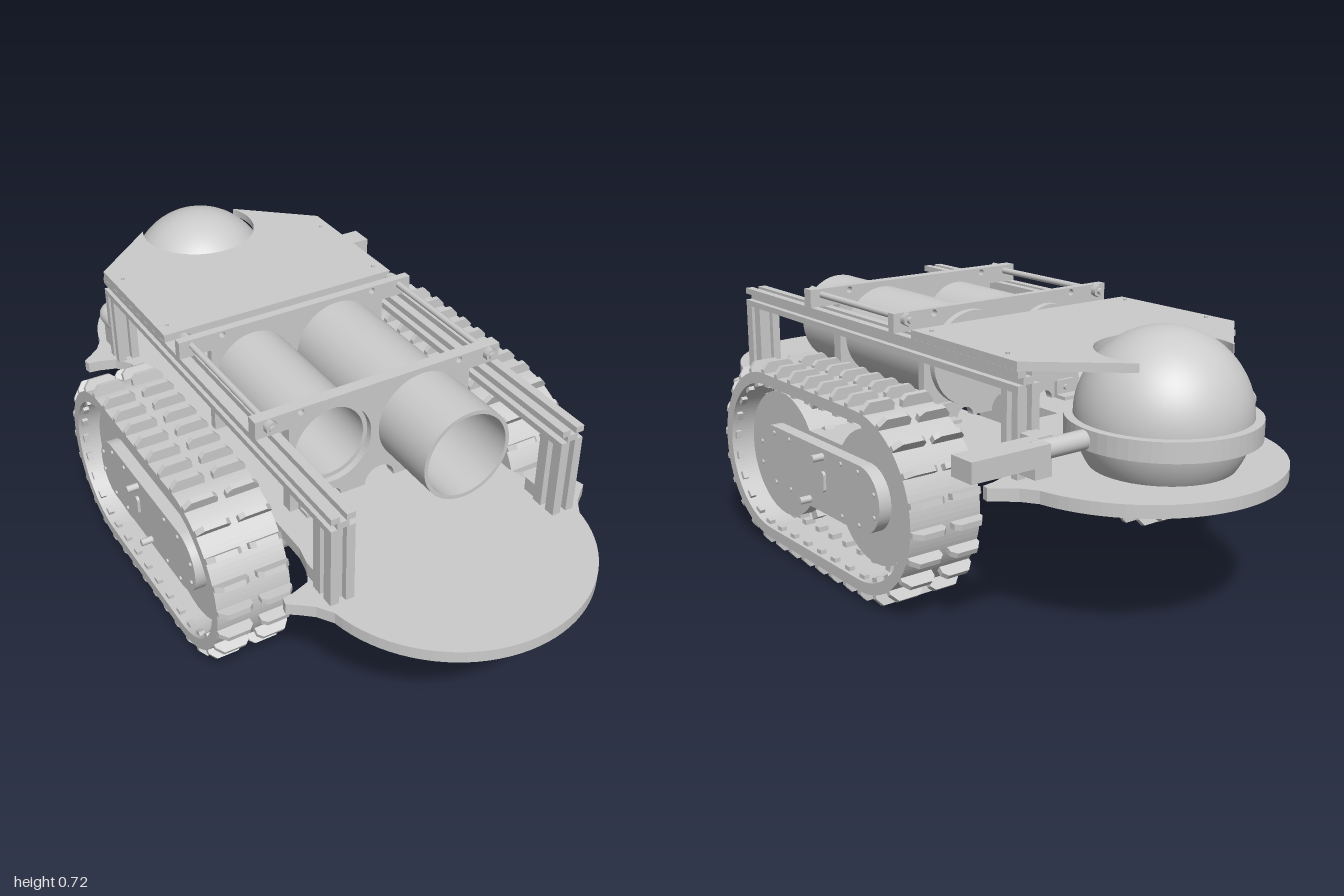
import * as THREE from 'three';
import { mergeGeometries } from 'three/addons/utils/BufferGeometryUtils.js';

const grey = new THREE.MeshStandardMaterial({ color: 0xcccccc, side: THREE.DoubleSide });

function add(parent, name, geo, x = 0, y = 0, z = 0) {
  const m = new THREE.Mesh(geo, grey);
  m.name = name;
  m.position.set(x, y, z);
  parent.add(m);
  return m;
}
const box = (w, h, d) => new THREE.BoxGeometry(w, h, d);
const rodX = (r, l, n = 32) => new THREE.CylinderGeometry(r, r, l, n).rotateZ(Math.PI / 2);
const rodZ = (r, l, n = 32) => new THREE.CylinderGeometry(r, r, l, n).rotateX(Math.PI / 2);
const extrude = (shape, depth) =>
  new THREE.ExtrudeGeometry(shape, { depth, bevelEnabled: false, curveSegments: 28 });
const flat = (shape, depth) => extrude(shape, depth).rotateX(Math.PI / 2); // x,z outline, hangs below y
const poly = pts => new THREE.Shape(pts.map(p => new THREE.Vector2(p[0], p[1])));
const circle = (x, y, r) => new THREE.Path().absarc(x, y, r, 0, Math.PI * 2, false);

// Pill outline with end centres at +-c and radius r
function stadium(c, r, Type = THREE.Shape) {
  const s = new Type();
  s.absarc(c, 0, r, -Math.PI / 2, Math.PI / 2, false);
  s.absarc(-c, 0, r, Math.PI / 2, Math.PI * 1.5, false);
  s.closePath();
  return s;
}
const sideways = (shape, depth) => extrude(shape, depth).rotateY(Math.PI / 2);

// Square slotted bar profile
function slottedBar(w, h, len) {
  const a = w / 2, b = h / 2, s = 0.009, d = 0.017;
  return extrude(poly([
    [-a, -b], [-s, -b], [-s, -b + d], [s, -b + d], [s, -b], [a, -b],
    [a, -s], [a - d, -s], [a - d, s], [a, s], [a, b],
    [s, b], [s, b - d], [-s, b - d], [-s, b], [-a, b],
    [-a, s], [-a + d, s], [-a + d, -s], [-a, -s]]), len);
}

// Position and outward angle at distance t along a pill path
function onTrack(t, c, r) {
  const L = 2 * c, A = Math.PI * r;
  if (t < L) return { z: -c + t, y: r, a: 0 };
  t -= L;
  if (t < A) { const q = t / r; return { z: c + r * Math.sin(q), y: r * Math.cos(q), a: q }; }
  t -= A;
  if (t < L) return { z: c - t, y: -r, a: Math.PI };
  const q = (t - L) / r;
  return { z: -c - r * Math.sin(q), y: -r * Math.cos(q), a: Math.PI + q };
}

function makeTrack(side) {
  const g = new THREE.Group();
  g.name = side > 0 ? 'leftTrack' : 'rightTrack';
  const C = 0.225, R = 0.235, N = 34;
  const belt = stadium(C, R);
  belt.holes.push(stadium(C, 0.205, THREE.Path));
  add(g, 'trackBelt', sideways(belt, 0.205), -0.1025);

  // Tread lugs in two chamfered halves, with a guide tooth inside the belt
  const half = extrude(poly([[0.012, -0.005], [0.1025, -0.005], [0.1025, 0.01], [0.085, 0.03],
    [0.025, 0.03], [0.012, 0.018]]), 0.015).translate(0, 0, -0.0075);
  const lug = mergeGeometries([half, half.clone().rotateY(Math.PI)]);
  const tooth = box(0.03, 0.016, 0.02).translate(0, -0.036, 0);
  const edgeTooth = box(0.016, 0.014, 0.022).translate(0.085, -0.034, 0);
  const lugs = [], teeth = [];
  const total = 4 * C + 2 * Math.PI * R;
  for (let i = 0; i < N; i++) {
    const p = onTrack((i + 0.5) * total / N, C, R);
    const put = q => q.clone().rotateX(p.a).translate(0, p.y, p.z);
    lugs.push(put(lug));
    teeth.push(put(tooth), put(edgeTooth), put(edgeTooth.clone().translate(-0.17, 0, 0)));
  }
  add(g, 'treadLugs', mergeGeometries(lugs));
  add(g, 'guideTeeth', mergeGeometries(teeth));

  // Road wheels and the pill-shaped side plates
  for (const z of [-C, C]) {
    add(g, 'wheel', rodX(0.175, 0.13, 40), -0.015, 0, z);
    for (let k = 0; k < 12; k++) {
      const a = k * Math.PI / 6;
      add(g, 'sprocketTooth', box(0.03, 0.03, 0.03).rotateX(-a), 0,
        0.18 * Math.sin(a), z + 0.18 * Math.cos(a));
    }
  }
  add(g, 'wheelFrame', box(0.13, 0.2, 0.2), -0.015, 0, 0);
  add(g, 'outerSidePlate', sideways(stadium(0.215, 0.088), 0.035), 0.05);
  add(g, 'innerSidePlate', sideways(stadium(0.215, 0.088), 0.02), -0.098);
  for (const [y, z] of [[-0.068, 0.03], [0.066, -0.04]])
    add(g, 'frameBolt', rodX(0.01, 0.04, 12), 0.0975, y, z);
  for (const x of [0.086, -0.099]) for (const z of [-0.28, -0.21, -0.13, 0.13, 0.21, 0.28])
    for (const s of [-1, 1])
      add(g, 'plateScrew', rodX(0.006, 0.008, 8), x, s * (Math.abs(z) > 0.25 ? 0.03 : 0.07), z);
  add(g, 'plateBoss', sideways(stadium(0.018, 0.01), 0.01).rotateX(Math.PI / 2), 0.083, 0, -0.045);

  // Drive motor pointing inwards
  add(g, 'motorFlange', rodX(0.087, 0.06), -0.125, 0, 0.215);
  add(g, 'motorBody', rodX(0.068, 0.09), -0.182, 0, 0.215);
  g.scale.x = side;
  g.position.set(side * 0.45, 0.27, 0);
  return g;
}

export function createModel() {
  const model = new THREE.Group();
  model.name = 'trackedRobot';
  const body = new THREE.Group();
  body.name = 'body';
  body.position.x = -0.0075;
  model.add(body);

  // Base plate: round ends, four small ears, openings for ball and middle bay
  const quarter = [[0.32, 0], [0.32, 0.46], [0.335, 0.53], [0.365, 0.575], [0.41, 0.59], [0.443, 0.595],
    [0.447, 0.615], [0.42, 0.635], [0.39, 0.66]];
  for (let i = 0; i <= 20; i++) {
    const a = 0.19 + (Math.PI / 2 - 0.19) * i / 20;
    quarter.push([0.37 * Math.cos(a), 0.63 + 0.37 * Math.sin(a)]);
  }
  const back = quarter.slice(0, -1).reverse();
  const front = [...quarter, ...back.map(([x, z]) => [-x, z])];
  const rear = front.slice(1, -1).reverse().map(([x, z]) => [x, -z]);
  const base = poly([...front, ...rear.reverse().map(([x, z]) => [-x, z])]);
  base.holes.push(circle(0, -0.72, 0.175));
  base.holes.push(new THREE.Path([[-0.08, -0.25], [0.1, -0.25], [0.1, 0.13], [-0.08, 0.13]]
    .map(p => new THREE.Vector2(...p))));
  add(body, 'basePlate', flat(base, 0.032), 0, 0.392, 0);

  // Top plate, notched around the ball
  const top = new THREE.Shape();
  top.moveTo(0.36, -0.195);
  top.lineTo(-0.36, -0.195);
  top.lineTo(-0.36, -0.61);
  top.lineTo(-0.155, -0.79);
  top.absarc(0, -0.72, 0.17, 3.566, -0.424, true);
  top.lineTo(0.36, -0.61);
  top.closePath();
  add(body, 'topPlate', flat(top, 0.022), 0, 0.672, 0);
  for (const x of [-0.33, 0.33]) for (const z of [-0.24, -0.54])
    add(body, 'topPlateScrew', new THREE.CylinderGeometry(0.005, 0.005, 0.006, 8), x, 0.674, z);

  // Frame rails, posts, clamp rods
  for (const s of [-1, 1]) {
    add(body, 'frameRail', slottedBar(0.065, 0.052, 1.29), s * 0.328, 0.624, -0.615);
    for (const z of [0.635, -0.585])
      add(body, 'framePost', slottedBar(0.065, z > 0 ? 0.08 : 0.06, 0.21).rotateX(-Math.PI / 2),
        s * 0.328, 0.39, z);
    add(body, 'postFoot', box(0.05, 0.04, 0.05), s * 0.328, 0.41, 0.575);
    add(body, 'postBracket', box(0.05, 0.1, 0.06), s * 0.328, 0.455, -0.64);
    add(body, 'clampRod', rodZ(0.009, 0.5, 16), s * 0.325, 0.683, 0.1);
    for (const z of [0.335, -0.13]) add(body, 'clampNut', rodZ(0.018, 0.018, 6), s * 0.325, 0.683, z);
  }

  // Two open tubes held by two clamp plates
  const tubes = [[-0.143, 0.113, 0.1, 0.305], [0.122, 0.129, 0.118, 0.53]];
  for (const [x, r, ri, z1] of tubes) {
    const pts = [[0, -0.125], [ri, -0.125], [ri, z1], [r, z1], [r, -0.14], [0, -0.14]];
    const parts = pts.slice(1).map((p, i) => new THREE.LatheGeometry(
      [new THREE.Vector2(...pts[i]), new THREE.Vector2(...p)], 48));
    add(body, 'openTube', mergeGeometries(parts).rotateX(Math.PI / 2), x, 0.555, 0);
  }
  for (const z of [0.29, -0.12]) {
    const c = new THREE.Shape();
    c.moveTo(-0.27, 0.392);
    for (const [x, r] of [[-0.145, 0.026], [0, 0.045], [0.135, 0.026]]) {
      c.lineTo(x - r, 0.392);
      c.absarc(x, 0.392, r, Math.PI, 0, true);
    }
    for (const p of [[0.27, 0.392], [0.27, 0.65], [0.362, 0.65], [0.362, 0.7], [-0.362, 0.7],
      [-0.362, 0.65], [-0.27, 0.65]]) c.lineTo(...p);
    c.closePath();
    for (const [x, r] of tubes) c.holes.push(circle(x, 0.555, r));
    for (const x of [-0.235, 0.235]) c.holes.push(circle(x, 0.687, 0.009));
    add(body, 'tubeClamp', extrude(c, z > 0 ? 0.034 : 0.024), 0, 0, z);
    // Angle brackets at the foot of each clamp
    for (const x of [-0.213, 0.213]) {
      const f = z > 0 ? 1 : -1, zf = z > 0 ? 0.324 : -0.12;
      add(body, 'clampBracketFoot', box(0.065, 0.01, 0.045), x, 0.397, zf + f * 0.022);
      add(body, 'clampBracketFace', box(0.065, 0.05, 0.01), x, 0.417, zf + f * 0.005);
      add(body, 'bracketScrew', rodZ(0.008, 0.01, 10), x, 0.42, zf + f * 0.013);
    }
  }

  // Rear ball with its holding ring
  add(body, 'ball', new THREE.SphereGeometry(0.215, 48, 32), 0, 0.512, -0.72);
  const ring = new THREE.Shape().absarc(0, 0, 0.237, 0, Math.PI * 2, false);
  ring.holes.push(circle(0, 0, 0.212));
  add(body, 'ballRing', flat(ring, 0.05), 0, 0.515, -0.72);

  // Ring supports: elbow pipe on one side, straight pipe with a bar on the other
  const elbow = new THREE.CurvePath();
  const v = (x, z) => new THREE.Vector3(x, 0.488, z);
  elbow.add(new THREE.LineCurve3(v(-0.22, -0.7), v(-0.3, -0.7)));
  elbow.add(new THREE.QuadraticBezierCurve3(v(-0.3, -0.7), v(-0.335, -0.7), v(-0.335, -0.665)));
  elbow.add(new THREE.LineCurve3(v(-0.335, -0.665), v(-0.335, -0.6)));
  add(body, 'elbowPipe', new THREE.TubeGeometry(elbow, 32, 0.027, 16));
  add(body, 'straightPipe', rodX(0.024, 0.18, 20), 0.3, 0.488, -0.7);
  add(body, 'sideBar', box(0.22, 0.05, 0.072), 0.472, 0.486, -0.698);

  for (const s of [1, -1]) body.add(makeTrack(s));
  return model;
}
